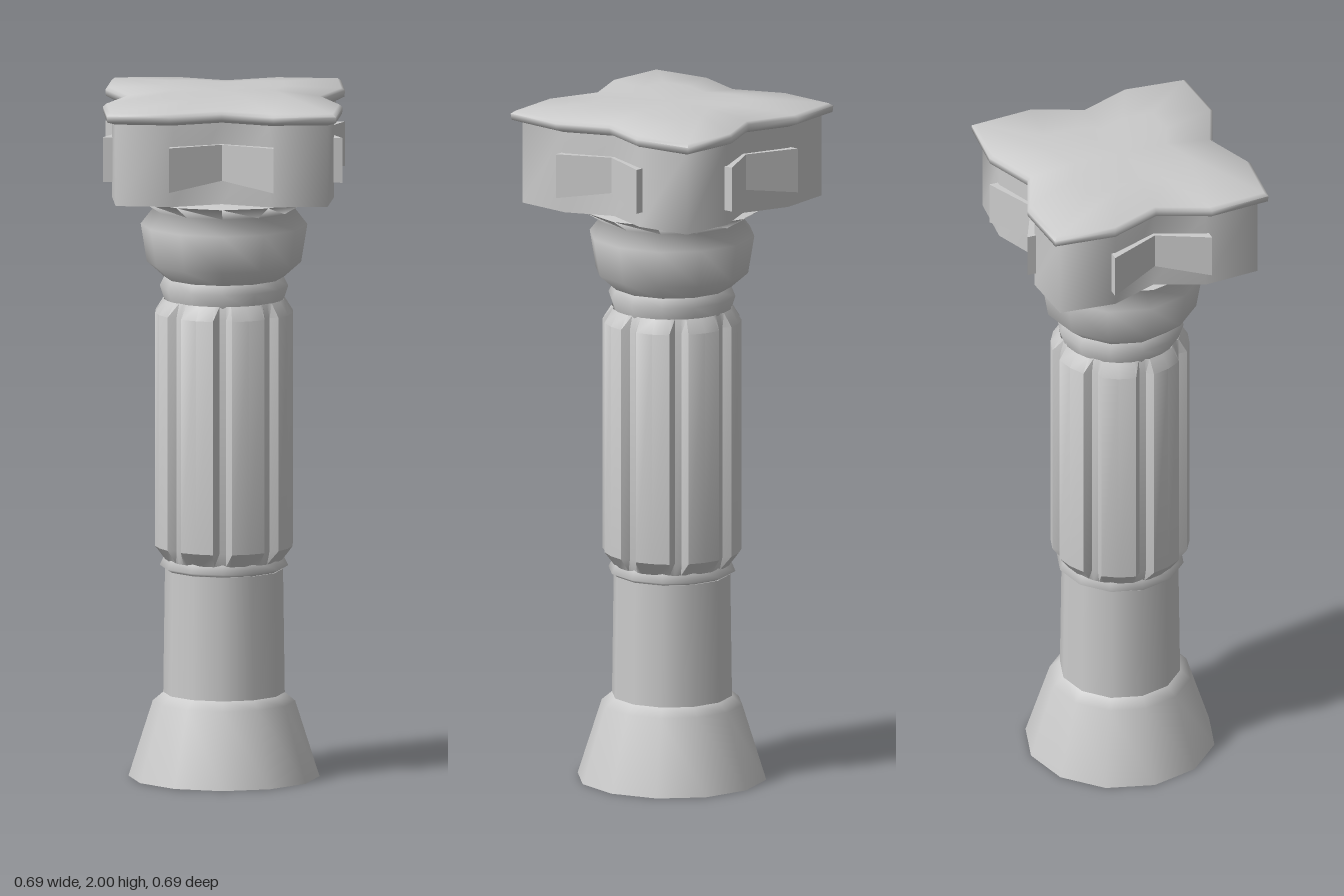
import * as THREE from 'three';
import { toCreasedNormals } from 'three/addons/utils/BufferGeometryUtils.js';

const material = new THREE.MeshStandardMaterial({ color: 0xcccccc, side: THREE.DoubleSide });

// Skin over rings of [x, y, z] points, ordered bottom to top
function loft(rings, crease) {
  const n = rings[0].length, index = [];
  for (let j = 0; j < rings.length - 1; j++) {
    for (let i = 0; i < n; i++) {
      const k = (i + 1) % n;
      const a = j * n + i, b = j * n + k, c = a + n, d = b + n;
      index.push(a, b, d, a, d, c);
    }
  }
  const geometry = new THREE.BufferGeometry();
  geometry.setAttribute('position', new THREE.Float32BufferAttribute(rings.flat(2), 3));
  geometry.setIndex(index);
  return toCreasedNormals(geometry, crease);
}

// Four-lobed outline, one quarter turned four times
function starOutline() {
  const points = [];
  let quarter = [[0, 0.285], [0.15, 0.345], [0.33, 0.33], [0.345, 0.15]];
  for (let q = 0; q < 4; q++) {
    points.push(...quarter);
    quarter = quarter.map(([x, z]) => [z, -x]);
  }
  return points;
}

// Star-shaped solid from [scale, height] levels
function starSolid(levels) {
  const outline = starOutline();
  return loft(levels.map(([s, y]) => outline.map(([x, z]) => [x * s, y, z * s])), 1.5);
}

// Ring of the shaft: eight shallow grooves between broad staves
function shaftRing(y, radius, groove) {
  const ring = [];
  for (let f = 0; f < 8; f++) {
    for (const [deg, r] of [[-8, radius], [-3, groove], [3, groove], [8, radius], [22.5, radius]]) {
      const t = THREE.MathUtils.degToRad(f * 45 + deg);
      ring.push([Math.sin(t) * r, y, Math.cos(t) * r]);
    }
  }
  return ring;
}

function turned(profile) {
  return new THREE.LatheGeometry(profile.map(([r, y]) => new THREE.Vector2(r, y)), 12);
}

// V-shaped plate that sits in a notch, its lower edge peaked in the middle
function panelGeometry() {
  const shape = new THREE.Shape([
    [-0.15, -0.345], [0, -0.275], [0.15, -0.345], [0.15, -0.29], [0, -0.24], [-0.15, -0.29],
  ].map(([x, y]) => new THREE.Vector2(x, y)));
  const geometry = new THREE.ExtrudeGeometry(shape, { depth: 0.13, bevelEnabled: false });
  geometry.rotateX(-Math.PI / 2).translate(0, 1.755, 0);
  const p = geometry.attributes.position;
  for (let i = 0; i < p.count; i++) {
    if (Math.abs(p.getX(i)) < 0.01 && p.getY(i) < 1.76) p.setY(i, 1.78);
  }
  geometry.computeVertexNormals();
  return geometry;
}

export function createModel() {
  const model = new THREE.Group();
  model.name = 'column';
  const add = (name, geometry) => {
    const mesh = new THREE.Mesh(geometry, material);
    mesh.name = name;
    model.add(mesh);
    return mesh;
  };

  // Flared foot and plain lower shaft
  add('footUnderside', new THREE.CircleGeometry(0.275, 12).rotateX(Math.PI / 2));
  add('foot', turned([[0.275, 0], [0.205, 0.22], [0.175, 0.245]]));
  add('lowerShaft', turned([[0.175, 0.24], [0.17, 0.605]]));
  add('lowerCollar', turned([[0.165, 0.605], [0.185, 0.615], [0.17, 0.645]]));

  // Grooved main shaft with tapered ends
  add('groovedShaft', loft([
    shaftRing(0.635, 0.17, 0.17),
    shaftRing(0.675, 0.2, 0.18),
    shaftRing(1.355, 0.2, 0.18),
    shaftRing(1.395, 0.175, 0.17),
  ], 0.6));

  // Neck ring and bulging bowl with a flared lip
  add('neckRing', turned([[0.17, 1.385], [0.185, 1.43], [0.17, 1.46]]));
  add('bowl', turned([
    [0.165, 1.45], [0.222, 1.5], [0.24, 1.61], [0.205, 1.655], [0.265, 1.692], [0, 1.692],
  ]));

  // Four-lobed block, its slightly domed cap and the notch panels
  add('block', starSolid([[0, 1.71], [0.925, 1.71], [0.925, 1.955], [0, 1.955]]));
  add('cap', starSolid([
    [0, 1.948], [0.93, 1.948], [0.995, 1.957], [1, 1.975], [0.97, 1.983], [0.5, 2], [0, 2],
  ]));
  const panel = panelGeometry();
  for (let i = 0; i < 4; i++) {
    add('notchPanel', panel).rotation.y = i * Math.PI / 2;
  }

  return model;
}
